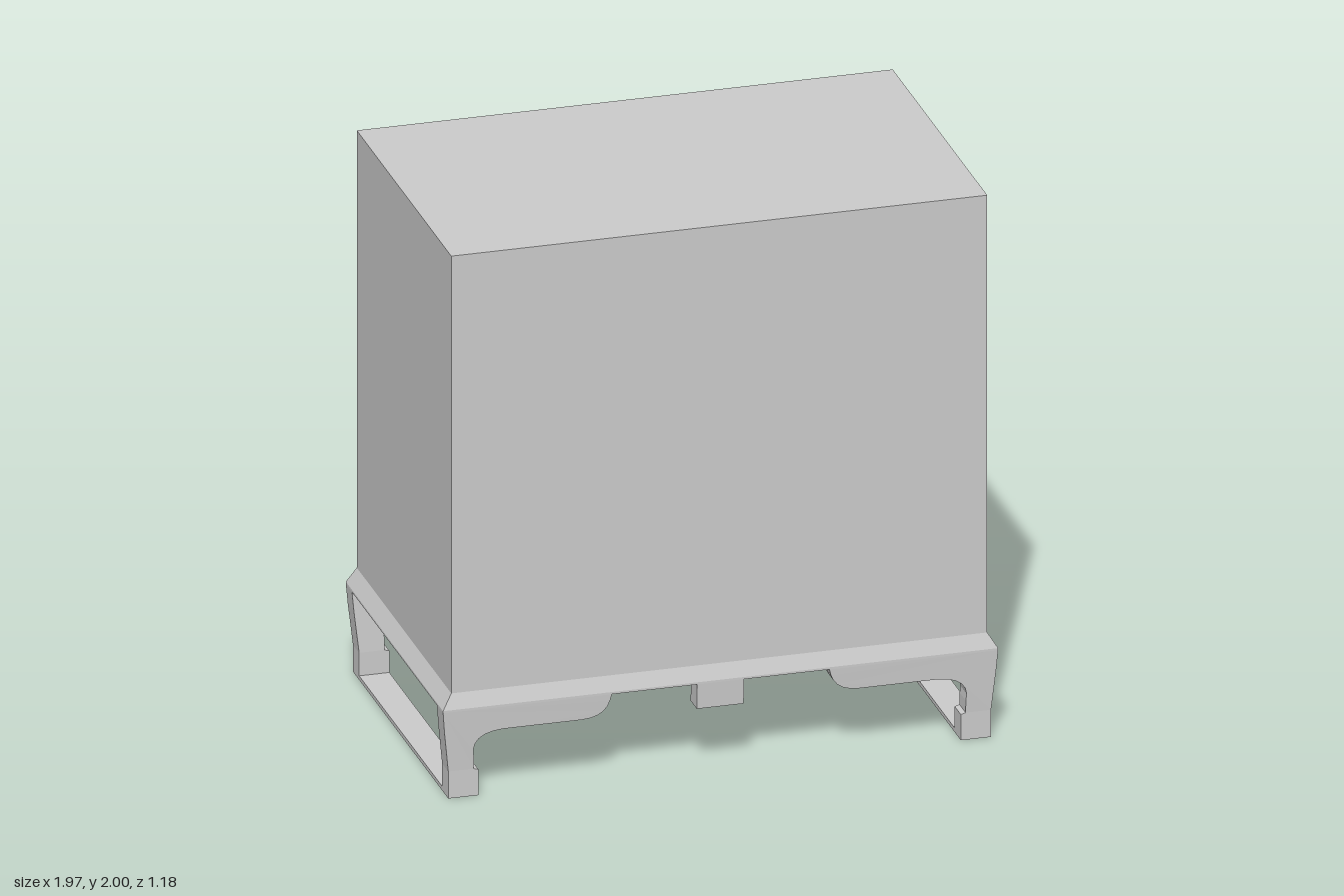
import * as THREE from 'three';

const material = new THREE.MeshStandardMaterial({ color: 0xcccccc, flatShading: true });
const BOARD = 0.075; // thickness of the front and back brackets

function part(name, geometry, parent) {
  const mesh = new THREE.Mesh(geometry, material);
  mesh.name = name;
  parent.add(mesh);
  return mesh;
}

function box(x0, x1, y0, y1, z0, z1) {
  return new THREE.BoxGeometry(x1 - x0, y1 - y0, z1 - z0)
    .translate((x0 + x1) / 2, (y0 + y1) / 2, (z0 + z1) / 2);
}

// Leans a board outwards between the straight foot and the base moulding
function lean(geometry) {
  const pos = geometry.attributes.position;
  for (let i = 0; i < pos.count; i++) {
    const t = THREE.MathUtils.clamp((pos.getY(i) - 0.1) / 0.22, 0, 1);
    pos.setZ(i, pos.getZ(i) + 0.012 * t);
  }
  geometry.computeVertexNormals();
  return geometry;
}

// Leg and scrolled bracket for one corner; side is +1 or -1 in x
function bracketGeometry(side) {
  const s = new THREE.Shape();
  const x = (v) => v * side;
  s.moveTo(x(0.855), 0);
  s.lineTo(x(0.962), 0);
  s.lineTo(x(0.962), 0.1);
  s.lineTo(x(0.978), 0.25);
  s.lineTo(x(0.984), 0.325);
  s.lineTo(x(0.385), 0.325);
  s.bezierCurveTo(x(0.395), 0.27, x(0.42), 0.24, x(0.49), 0.238);
  s.lineTo(x(0.77), 0.238);
  s.bezierCurveTo(x(0.85), 0.235, x(0.885), 0.2, x(0.872), 0.145);
  s.lineTo(x(0.872), 0.1);
  s.lineTo(x(0.855), 0.095);
  const g = new THREE.ExtrudeGeometry(s, { depth: BOARD, bevelEnabled: false, curveSegments: 6 });
  return lean(g.translate(0, 0, 0.578 - BOARD));
}

export function createModel() {
  const model = new THREE.Group();
  model.name = 'chest';

  // Plain case
  part('body', box(-0.95, 0.95, 0.385, 2, -0.573, 0.573), model);

  // Base moulding flaring outwards below the case
  const flare = box(-0.95, 0.95, 0.33, 0.385, -0.573, 0.573);
  const pos = flare.attributes.position;
  for (let i = 0; i < pos.count; i++) {
    if (pos.getY(i) > 0.35) continue;
    pos.setX(i, Math.sign(pos.getX(i)) * 0.984);
    pos.setZ(i, Math.sign(pos.getZ(i)) * 0.59);
  }
  flare.computeVertexNormals();
  part('baseMoulding', flare, model);
  part('basePanel', box(-0.984, 0.984, 0.322, 0.33, -0.59, 0.59), model);

  // Four bracket legs, the back pair turned half a circle
  for (const side of [1, -1]) {
    const geometry = bracketGeometry(side);
    part(side > 0 ? 'frontLeftLeg' : 'frontRightLeg', geometry, model);
    part(side > 0 ? 'backRightLeg' : 'backLeftLeg', geometry, model).rotation.y = Math.PI;
  }

  // Block hanging at the middle of the front
  part('frontBlock', lean(box(-0.083, 0.083, 0.23, 0.325, 0.578 - BOARD, 0.578)), model);

  // Thin floor rails joining the feet on each side
  for (const side of [1, -1]) {
    const rail = part(side > 0 ? 'leftRail' : 'rightRail',
      box(-0.0535, 0.0535, 0, 0.015, -0.51, 0.51), model);
    rail.position.x = side * 0.9085;
  }
  return model;
}
